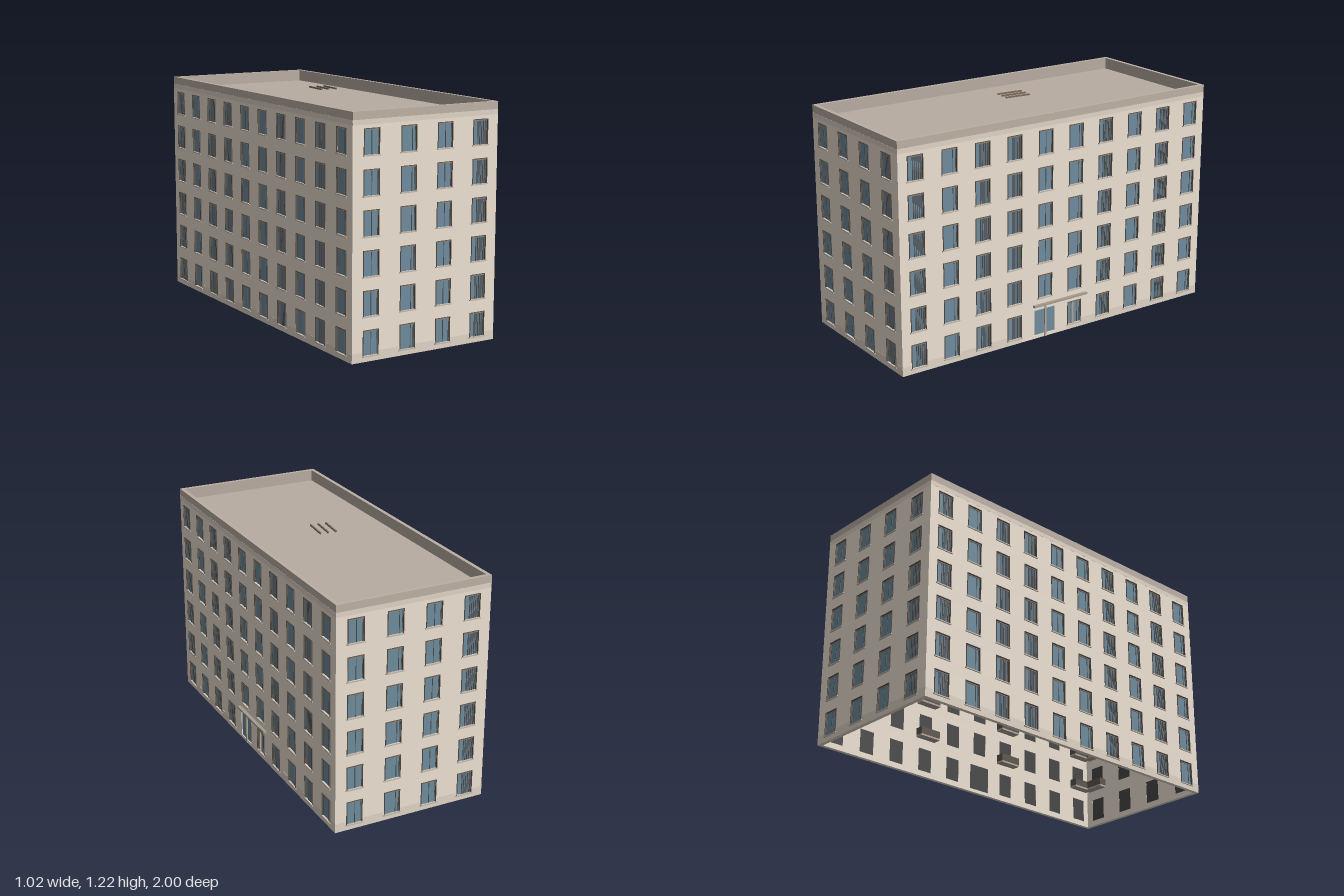
import * as THREE from 'three';
import { mergeGeometries } from 'three/addons/utils/BufferGeometryUtils.js';

const HALF_W = 0.422, HALF_L = 0.966, TURN = 0.089;
const ROWS = 6, STEP = 0.1945, SILL_Y = 0.03, WIN_H = 0.125, WIN_W = 0.086;
const THICK = 0.02, WALL_TOP = 1.171, ROOF_Y = 1.146, TOP = 1.21;
// Columns with vertical slats, by number of columns in the facade
const SLATTED = { 4: [3], 10: [0, 2, 3, 6, 8] };

const mat = (color) => new THREE.MeshStandardMaterial({ color });
const MATS = {
  wall: mat(0xece0d2), plinth: mat(0xdfd3c5), cornice: mat(0xdfd3c5), parapet: mat(0xbcb0a5),
  parapetLining: mat(0xb8aca1), windowFrame: mat(0x5c554e), windowHead: mat(0x8c8278),
  windowSill: mat(0xc4b8ab), glass: mat(0x6e8b9c), windowBacking: mat(0x464646),
  windowSlats: mat(0x565a5e), canopy: mat(0xa89c90), doorFrame: mat(0xb4a698),
  roof: mat(0xb8aca1), balconySlab: mat(0xb4a89c), balconyRail: mat(0x5c554e), roofFin: mat(0x7d6c5c),
};

// Box geometry given by its centre and size
function box(x, y, z, w, h, d) {
  return new THREE.BoxGeometry(w, h, d).translate(x, y, z);
}

function rectPath(x, y, w, h) {
  const p = new THREE.Path();
  p.moveTo(x - w / 2, y);
  p.lineTo(x - w / 2, y + h);
  p.lineTo(x + w / 2, y + h);
  p.lineTo(x + w / 2, y);
  p.closePath();
  return p;
}

// One facade, its outer face on z = 0 and looking along +z
function facade(name, width, columns, doorColumn = -1) {
  const group = new THREE.Group();
  group.name = name;
  const parts = {};
  const add = (part, ...dims) => (parts[part] ??= []).push(box(...dims));

  const outline = new THREE.Shape();
  outline.moveTo(-width / 2, 0);
  outline.lineTo(width / 2, 0);
  outline.lineTo(width / 2, WALL_TOP);
  outline.lineTo(-width / 2, WALL_TOP);
  outline.closePath();

  const pitch = width / columns;
  for (let c = 0; c < columns; c++) {
    const x = -width / 2 + (c + 0.5) * pitch;
    for (let r = 0; r < ROWS; r++) {
      const y = SILL_Y + r * STEP, mid = y + WIN_H / 2;
      if (r === 0 && c === doorColumn) {
        // Entrance: two glass leaves and their middle post
        outline.holes.push(rectPath(x, 0.018, 0.13, 0.14));
        add('glass', x, 0.088, -0.007, 0.13, 0.14, 0.004);
        add('windowBacking', x, 0.088, -0.017, 0.13, 0.14, 0.004);
        add('doorFrame', x + 0.004, 0.09, 0, 0.012, 0.18, 0.008);
        continue;
      }
      outline.holes.push(rectPath(x, y, WIN_W, WIN_H));
      add('glass', x, mid, -0.007, WIN_W, WIN_H, 0.004);
      add('windowBacking', x, mid, -0.0175, WIN_W, WIN_H, 0.004);
      for (const s of [-1, 1]) {
        add('windowFrame', x + s * 0.043, mid, 0, 0.003, WIN_H, 0.008);
        add('windowFrame', x + s * 0.038, mid, -0.004, 0.002, WIN_H, 0.003);
      }
      add('windowFrame', x, y + WIN_H, 0, 0.089, 0.003, 0.008);
      add('windowHead', x, y + WIN_H - 0.006, -0.003, 0.084, 0.004, 0.005);
      add('windowSill', x, y - 0.003, 0, 0.098, 0.006, 0.012);
      // Vertical slats, or one off-centre mullion
      if (SLATTED[columns].includes(c)) {
        for (let i = -1; i <= 3; i++) add('windowSlats', x + i * 0.011, mid, -0.004, 0.006, WIN_H, 0.003);
      } else {
        add('windowSlats', x + (c % 2 ? 0.022 : 0.004), mid, -0.004, 0.003, WIN_H, 0.003);
      }
      // Shallow balconies on the inner side of the shell
      if (r > 0 && c % 3 === 0) {
        add('balconySlab', x, y - 0.01, -0.042, 0.125, 0.01, 0.046);
        add('balconyRail', x, y + 0.015, -0.063, 0.125, 0.04, 0.003);
        for (const s of [-1, 1]) add('balconyRail', x + s * 0.061, y + 0.015, -0.042, 0.003, 0.04, 0.046);
      }
    }
    // Plinth under each ground floor window
    if (c !== doorColumn) add('plinth', x, 0.012, 0, 0.098, 0.024, 0.001);
  }

  // Plinth between the ground floor windows
  for (let c = 0; c <= columns; c++) {
    const atEnd = c === 0 || c === columns;
    const w = (pitch - 0.098) / (atEnd ? 2 : 1);
    if (doorColumn >= 0 && (c === doorColumn || c === doorColumn + 1)) continue;
    const x = -width / 2 + c * pitch + (c === 0 ? w / 2 : c === columns ? -w / 2 : 0);
    add('plinth', x, 0.024, 0, w, 0.048, 0.001);
  }
  // Cornice band, parapet and its lining above the roof
  add('cornice', 0, 1.1585, 0, width, 0.025, 0.001);
  add('parapet', 0, (WALL_TOP + TOP) / 2, -THICK / 2, width, TOP - WALL_TOP, THICK);
  add('parapetLining', 0, (ROOF_Y + TOP) / 2, -THICK - 0.0005, width - THICK * 2, TOP - ROOF_Y, 0.001);

  // Canopy over the entrance, and a post beside it
  if (doorColumn >= 0) {
    add('canopy', 0, 0.186, 0.005, 0.345, 0.01, 0.026);
    add('doorFrame', 0.085, 0.093, 0, 0.012, 0.125, 0.008);
  }

  const wall = new THREE.ExtrudeGeometry(outline, { depth: THICK, bevelEnabled: false });
  parts.wall = [wall.translate(0, 0, -THICK)];
  for (const [part, geos] of Object.entries(parts)) {
    const mesh = new THREE.Mesh(mergeGeometries(geos), MATS[part]);
    mesh.name = part;
    group.add(mesh);
  }
  return group;
}

export function createModel() {
  const model = new THREE.Group();
  model.name = 'apartmentBlock';

  const building = new THREE.Group();
  building.name = 'building';
  building.rotation.y = TURN;
  model.add(building);

  // Four facades
  const sides = [
    [facade('frontFacade', HALF_W * 2, 4), 0, HALF_L],
    [facade('leftFacade', HALF_L * 2, 10, 4), Math.PI / 2, HALF_W],
    [facade('backFacade', HALF_W * 2, 4), Math.PI, HALF_L],
    [facade('rightFacade', HALF_L * 2, 10), -Math.PI / 2, HALF_W],
  ];
  for (const [side, angle, dist] of sides) {
    side.rotation.y = angle;
    side.position.set(Math.sin(angle) * dist, 0, Math.cos(angle) * dist);
    building.add(side);
  }

  // Sunken flat roof
  const roof = new THREE.Mesh(box(0, ROOF_Y, 0, HALF_W * 2 - 0.03, 0.004, HALF_L * 2 - 0.03), MATS.roof);
  roof.name = 'roof';
  building.add(roof);

  // Three slim bars above the roof
  for (const x of [-0.043, 0, 0.043]) {
    const fin = new THREE.Mesh(box(x, 1.211, -0.003, 0.008, 0.008, 0.145), MATS.roofFin);
    fin.name = 'roofFin';
    model.add(fin);
  }
  return model;
}
